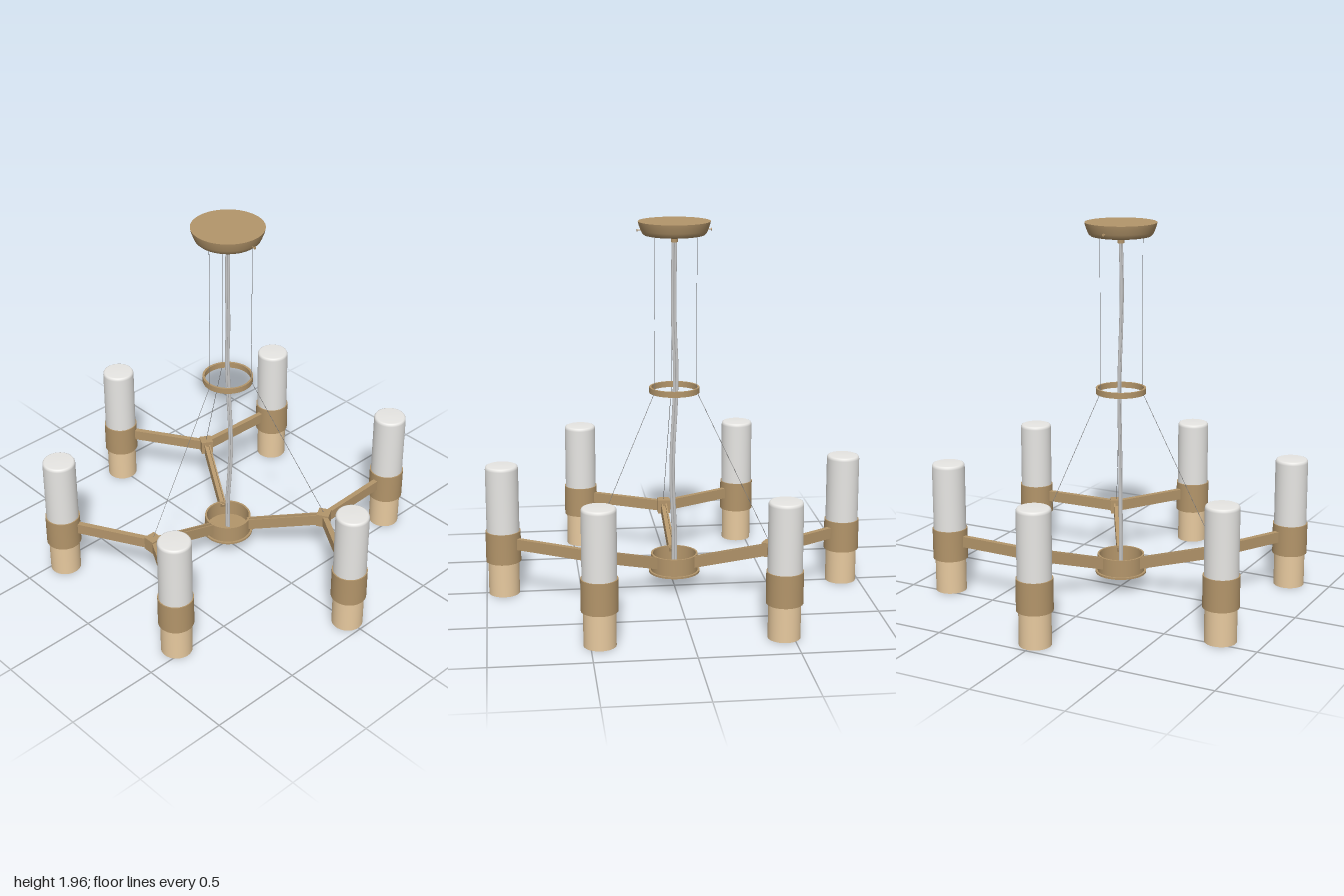
import * as THREE from 'three';

const mat = (name, color) => {
  const m = new THREE.MeshStandardMaterial({ color });
  m.name = name;
  return m;
};

export function createModel() {
  const root = new THREE.Group();
  root.name = 'chandelier';
  const brass = mat('brass', 0xb3956a);
  const tan = mat('pale tan', 0xe9cba0);
  const glass = mat('frosted glass', 0xf2f1ee);
  const grey = mat('grey cord', 0xc6c6c6);
  const steel = mat('steel wire', 0x808080);

  const add = (parent, name, geo, material, x = 0, y = 0, z = 0) => {
    const m = new THREE.Mesh(geo, material);
    m.name = name;
    m.position.set(x, y, z);
    parent.add(m);
    return m;
  };
  // Smooth lathe through all profile points
  const lathe = (pts, seg) => new THREE.LatheGeometry(pts.map(p => new THREE.Vector2(...p)), seg);
  // Lathe whose corners stay sharp: each straight profile span gets its own normals
  const turned = (parent, name, pts, material, seg = 48) => {
    const g = new THREE.Group();
    g.name = name;
    for (let i = 0; i < pts.length - 1; i++) add(g, name + 'Face', lathe([pts[i], pts[i + 1]], seg), material);
    parent.add(g);
  };
  // Box bar running between two points, upright cross-section
  const bar = (parent, name, a, b, w, h, material, offX = 0, offY = 0) => {
    const g = new THREE.Group();
    g.position.copy(a).add(b).multiplyScalar(0.5);
    g.lookAt(b);
    g.name = name;
    add(g, name + 'Bar', new THREE.BoxGeometry(w, h, a.distanceTo(b)), material, offX, offY);
    parent.add(g);
  };
  const V = (x, y, z) => new THREE.Vector3(x, y, z);
  const wire = (parent, name, a, b) =>
    add(parent, name, new THREE.TubeGeometry(new THREE.LineCurve3(a, b), 1, 0.0013, 6), steel);

  // Ceiling canopy: softly rounded underside, flat top, small side screws, cord grip
  add(root, 'canopyBody', lathe([[0, 1.888], [0.14, 1.888], [0.155, 1.891], [0.165, 1.9], [0.172, 1.915],
    [0.182, 1.942], [0.186, 1.96]], 64), brass);
  turned(root, 'canopyTop', [[0.186, 1.96], [0, 1.96]], brass, 64);
  for (const s of [-1, 1]) {
    const stem = add(root, 'screwStem', new THREE.CylinderGeometry(0.003, 0.003, 0.03, 8), brass, s * 0.175, 1.916, 0);
    const head = add(root, 'screwHead', new THREE.CylinderGeometry(0.007, 0.007, 0.004, 16), brass, s * 0.19, 1.916, 0);
    stem.rotation.z = head.rotation.z = Math.PI / 2;
  }
  add(root, 'cordGrip', new THREE.CylinderGeometry(0.018, 0.018, 0.04, 24), brass, 0, 1.873, 0);

  // Spreader ring
  turned(root, 'spreaderRing', [[0.12, 1.067], [0.131, 1.067], [0.131, 1.097], [0.12, 1.097], [0.12, 1.067]], brass, 64);

  // Gently swaying cord made of two side-by-side strands
  const sway = [[0, 1.87, 0], [0.002, 1.6, 0.004], [0.001, 1.4, 0], [-0.007, 1.2, -0.003], [-0.003, 1.0, -0.007],
    [0.008, 0.8, -0.009], [0.013, 0.62, -0.009], [0.007, 0.45, -0.005], [0, 0.3, 0], [0, 0.1, 0]];
  for (const s of [-1, 1]) {
    const path = new THREE.CatmullRomCurve3(sway.map(([x, y, z]) => V(x + s * 0.007, y, z)));
    add(root, 'cordStrand', new THREE.TubeGeometry(path, 60, 0.0075, 12), grey);
  }

  // Open central cup with bottom lip and finial
  turned(root, 'hub', [[0, 0.083], [0.136, 0.083], [0.136, 0.093], [0.125, 0.093], [0.125, 0.185],
    [0.115, 0.185], [0.115, 0.1], [0, 0.1]], brass);
  add(root, 'finial', new THREE.CylinderGeometry(0.018, 0.018, 0.045, 24), brass, 0, 0.064, 0);

  // Lamp: open tan downlight, brass collar, frosted upper tube
  const addLamp = (parent, x, z) => {
    const lamp = new THREE.Group();
    lamp.name = 'lamp';
    lamp.position.set(x, 0, z);
    turned(lamp, 'lowerShade', [[0.075, 0.2], [0.075, 0], [0.081, 0], [0.081, 0.2]], tan);
    turned(lamp, 'lowerShadeCap', [[0, 0.19], [0.077, 0.19]], tan);
    turned(lamp, 'collar', [[0.08, 0.18], [0.092, 0.18], [0.092, 0.345], [0.085, 0.345]], brass);
    add(lamp, 'upperGlass', lathe([[0.086, 0.33], [0.086, 0.682], [0.085, 0.69], [0.081, 0.697], [0.074, 0.7],
      [0, 0.701]], 48), glass);
    parent.add(lamp);
  };

  // Three identical branches, each ending in two lamps
  for (let i = 0; i < 3; i++) {
    const branch = new THREE.Group();
    branch.name = 'branch';
    branch.rotation.y = i * Math.PI * 2 / 3;
    root.add(branch);

    // Sloping arm with a shallow groove along its top
    const inner = V(0, 0.15, 0.115), outer = V(0, 0.275, 0.525);
    bar(branch, 'armCore', inner, outer, 0.016, 0.048, brass, 0, -0.006);
    for (const s of [-1, 1]) bar(branch, 'armWall', inner, outer, 0.008, 0.06, brass, s * 0.012, 0);

    add(branch, 'joint', new THREE.BoxGeometry(0.066, 0.075, 0.066), brass, 0, 0.282, 0.54);
    for (const s of [-1, 1]) {
      const lx = s * 0.4535, lz = 0.7855;
      const dir = V(lx, 0, lz - 0.54).normalize();
      bar(branch, 'lampArm', V(0, 0.281, 0.54), V(lx - dir.x * 0.085, 0.281, lz - dir.z * 0.085), 0.028, 0.058, brass);
      addLamp(branch, lx, lz);
    }
    // Suspension wires
    wire(branch, 'upperWire', V(0, 1.89, 0.126), V(0, 1.083, 0.126));
    wire(branch, 'lowerWire', V(0, 1.083, 0.126), V(0, 0.315, 0.54));
  }
  return root;
}
